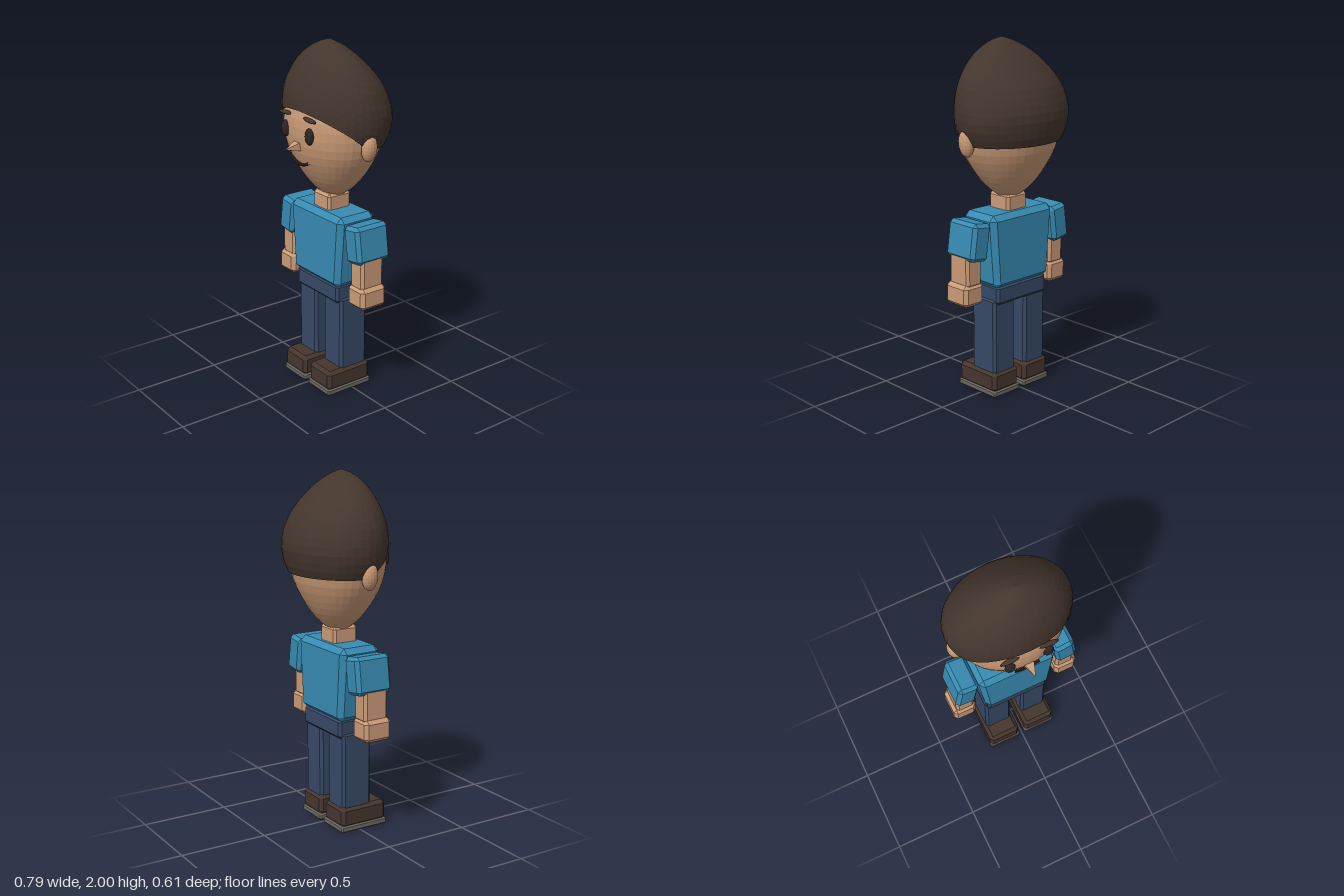
import * as THREE from 'three';
import { ConvexGeometry } from 'three/addons/geometries/ConvexGeometry.js';

const mat = (name, color) => new THREE.MeshStandardMaterial({ name, color, flatShading: true });

// Chamfered box; the top may be wider than the bottom
function chamferBox(w, h, d, c, bottomScale = 1) {
  const pts = [];
  for (const sx of [-1, 1]) for (const sy of [-1, 1]) for (const sz of [-1, 1]) {
    const k = sy < 0 ? bottomScale : 1;
    for (let axis = 0; axis < 3; axis++) {
      const inset = [c, c, c];
      inset[axis] = 0;
      pts.push(new THREE.Vector3(
        sx * (w / 2 - inset[0]) * k, sy * (h / 2 - inset[1]), sz * (d / 2 - inset[2])));
    }
  }
  return new ConvexGeometry(pts);
}

// Closed-loop surface from rings listed top to bottom
function ringSurface(rows, cols, point) {
  const pos = [], idx = [];
  for (let i = 0; i <= rows; i++)
    for (let j = 0; j < cols; j++) pos.push(...point(i, (j / cols) * Math.PI * 2));
  for (let i = 0; i < rows; i++)
    for (let j = 0; j < cols; j++) {
      const a = i * cols + j, b = i * cols + (j + 1) % cols;
      idx.push(a, b, a + cols, b, b + cols, a + cols);
    }
  const g = new THREE.BufferGeometry();
  g.setAttribute('position', new THREE.Float32BufferAttribute(pos, 3));
  g.setIndex(idx);
  g.computeVertexNormals();
  return g;
}

// Smooth lookup of profile values by height
function profile(table) {
  const size = table[0].length - 1;
  const interp = new THREE.CubicInterpolant(
    table.map(r => r[0]), table.flatMap(r => r.slice(1)), size, new Float32Array(size));
  return y => [...interp.evaluate(y)];
}

// height, half width
const headAt = profile([[1.12, 0], [1.127, 0.045], [1.145, 0.082], [1.2, 0.15], [1.3, 0.228],
  [1.4, 0.281], [1.5, 0.303], [1.6, 0.3], [1.67, 0.275], [1.75, 0.225], [1.82, 0.15], [1.87, 0]]);
// height, half width, front z, back z
const hairAt = profile([[1.42, 0.295, 0.19, -0.262], [1.46, 0.317, 0.205, -0.28],
  [1.52, 0.342, 0.22, -0.297], [1.6, 0.352, 0.226, -0.304], [1.68, 0.343, 0.224, -0.286],
  [1.77, 0.31, 0.205, -0.24], [1.87, 0.237, 0.163, -0.155], [1.93, 0.165, 0.122, -0.09],
  [1.97, 0.09, 0.085, -0.04], [1.99, 0.04, 0.05, 0], [2, 0, 0.02, 0.02]]);

const HEAD_Z = -0.017, HEAD_DEPTH = 0.825;
const headFront = (x, y) => {
  const w = headAt(y)[0];
  return HEAD_Z + HEAD_DEPTH * Math.sqrt(Math.max(0, w * w - x * x));
};

function headPoint(i, a) {
  const y = 1.495 + 0.375 * Math.cos((i / 24) * Math.PI);
  const w = Math.max(0, headAt(y)[0]);
  return [w * Math.cos(a), y, HEAD_Z + HEAD_DEPTH * w * Math.sin(a)];
}

// Hair shell ending in a rim that rises over the forehead, closed by an inner ring
function hairPoint(i, a) {
  const rows = 18;
  const rim = 1.445 + Math.max(0, -0.025 + 0.26 * Math.sin(a)) * 0.82;
  const t = Math.min(i / rows, 1);
  const y = 2 - (2 - rim) * (1 - Math.cos(t * Math.PI * 0.6)) / (1 - Math.cos(Math.PI * 0.6));
  const [w, front, back] = hairAt(y);
  const k = i > rows ? 0.85 : 1;
  const lean = 0.02 * Math.max(0, (y - 1.7) / 0.3);
  return [lean + k * Math.max(0, w) * Math.cos(a), y,
    (front + back) / 2 + k * (front - back) / 2 * Math.sin(a)];
}

export function createModel() {
  const skin = mat('skin', 0xcb9b77);
  const hair = mat('hair brown', 0x44362d);
  const shirt = mat('shirt blue', 0x388bb3);
  const pants = mat('trouser navy', 0x374966);
  const shoe = mat('shoe brown', 0x46362d);
  const sole = mat('sole grey', 0x6b6964);
  const dark = mat('feature dark', 0x2d2622);

  const model = new THREE.Group();
  const add = (name, geo, material, x = 0, y = 0, z = 0) => {
    const m = new THREE.Mesh(geo, material);
    m.name = name;
    m.position.set(x, y, z);
    model.add(m);
    return m;
  };
  const ball = (name, material, r, p) => {
    const m = add(name, new THREE.SphereGeometry(1, 16, 12), material, ...p);
    m.scale.set(...r);
    return m;
  };

  // Head and hair
  add('head', ringSurface(24, 36, headPoint), skin);
  add('hair', ringSurface(19, 40, hairPoint), hair);
  add('neck', chamferBox(0.15, 0.12, 0.155, 0.015), skin, 0, 1.09, -0.008);

  // Nose: a square pyramid pointing forward
  const v = (x, y, z) => new THREE.Vector3(x, y, z);
  add('nose', new ConvexGeometry([v(-0.03, 1.415, 0.2), v(0.03, 1.415, 0.2),
    v(-0.03, 1.47, 0.215), v(0.03, 1.47, 0.215), v(0, 1.433, 0.303)]), skin);

  // Mouth: a smile following the face
  const smile = [-0.075, -0.045, 0, 0.045, 0.075].map(x => {
    const y = 1.333 + 4.6 * x * x;
    return v(x, y, headFront(x, y) + 0.012);
  });
  add('mouth', new THREE.TubeGeometry(new THREE.CatmullRomCurve3(smile), 16, 0.008, 6), dark);

  // Torso and hips
  add('torso', chamferBox(0.47, 0.42, 0.25, 0.03, 0.87), shirt, 0, 0.85, -0.01);
  add('hips', chamferBox(0.38, 0.11, 0.225, 0.015), pants, 0, 0.6, -0.012);

  // Paired parts
  for (const [side, s] of [['left', 1], ['right', -1]]) {
    ball(side + 'Ear', skin, [0.038, 0.075, 0.046], [s * 0.316, 1.46, -0.015]).rotation.z = -s * 0.12;
    ball(side + 'Eye', dark, [0.03, 0.046, 0.02], [s * 0.109, 1.517, headFront(0.109, 1.517) + 0.006]);
    const brow = ball(side + 'Eyebrow', hair, [0.056, 0.012, 0.014],
      [s * 0.109, 1.605, headFront(0.109, 1.605) + 0.008]);
    brow.rotation.z = -s * 0.06;

    const sleeve = add(side + 'Sleeve', chamferBox(0.125, 0.21, 0.22, 0.02), shirt, s * 0.306, 0.93, -0.015);
    sleeve.rotation.z = s * 0.14;
    add(side + 'Forearm', chamferBox(0.11, 0.2, 0.15, 0.015), skin, s * 0.319, 0.775, -0.005);
    add(side + 'Hand', chamferBox(0.138, 0.125, 0.17, 0.02), skin, s * 0.326, 0.63, -0.002);

    add(side + 'Leg', chamferBox(0.163, 0.46, 0.185, 0.015), pants, s * 0.118, 0.345, -0.013);
    add(side + 'Shoe', chamferBox(0.195, 0.12, 0.293, 0.02), shoe, s * 0.118, 0.085, 0.027);
    add(side + 'Sole', chamferBox(0.2, 0.038, 0.3, 0.008), sole, s * 0.116, 0.019, 0.027);
  }
  return model;
}
